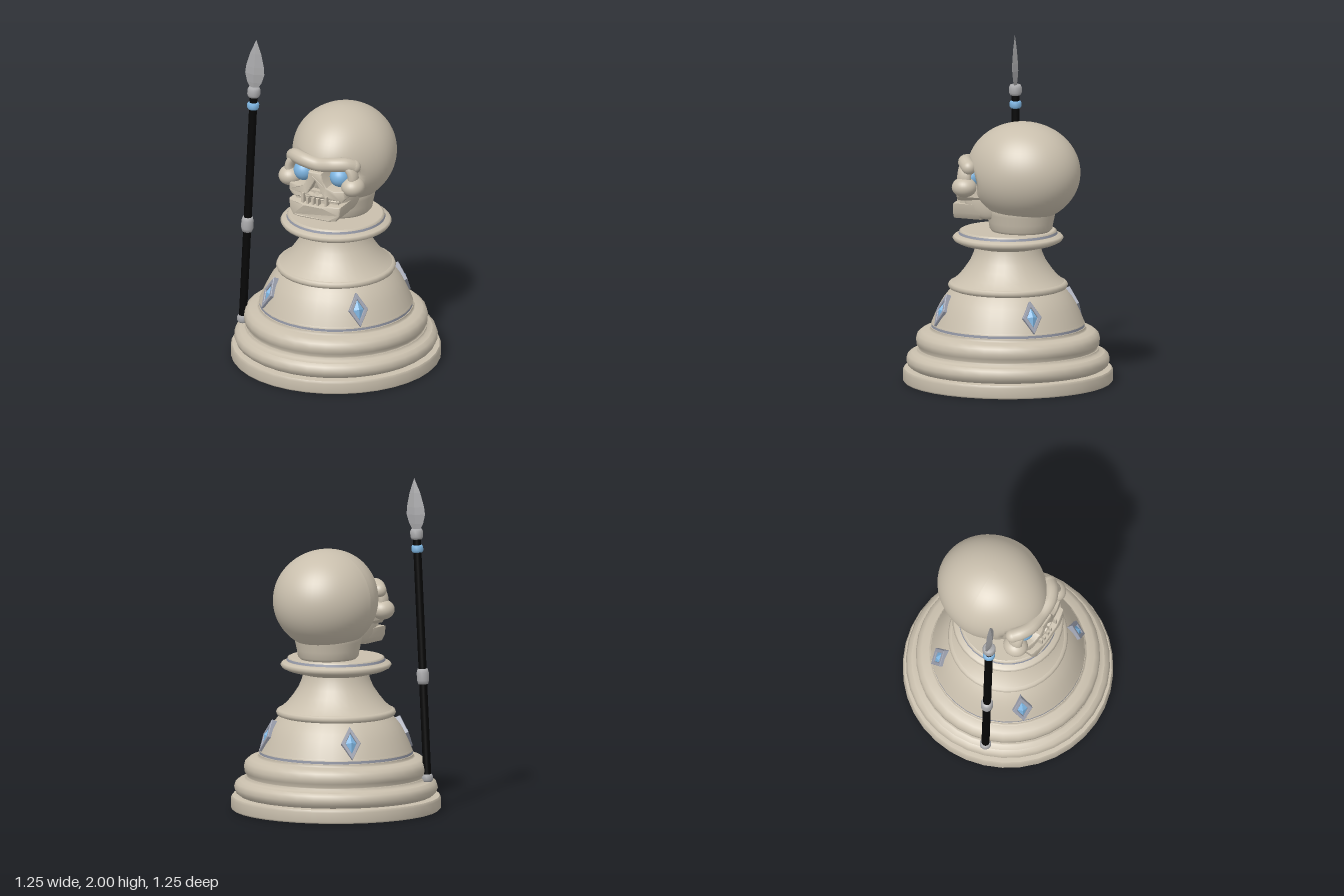
import * as THREE from 'three';
import { toCreasedNormals } from 'three/addons/utils/BufferGeometryUtils.js';

const mat = (name, color) => {
  const m = new THREE.MeshStandardMaterial({ color });
  m.name = name;
  return m;
};
const V2 = (p) => new THREE.Vector2(p[0], p[1]);
const V3 = (p) => new THREE.Vector3(p[0], p[1], p[2]);

export function createModel() {
  const bone = mat('bone', 0xc9bfad);
  const blue = mat('blue', 0x7db4e0);
  const trim = mat('trim', 0x9a9eac);
  const steel = mat('steel', 0xaaaaac);
  const black = mat('black', 0x060606);

  const root = new THREE.Group();
  const add = (parent, name, geometry, material, x = 0, y = 0, z = 0) => {
    const mesh = new THREE.Mesh(geometry, material);
    mesh.name = name;
    mesh.position.set(x, y, z);
    parent.add(mesh);
    return mesh;
  };
  const lathe = (pts, segments = 36) => new THREE.LatheGeometry(pts.map(V2), segments);
  const ellipsoid = (rx, ry, rz) => new THREE.SphereGeometry(1, 28, 20).scale(rx, ry, rz);

  // Turned pedestal; repeated points make sharp edges
  add(root, 'pedestal', lathe([
    [0, 0], [0.618, 0], [0.618, 0], [0.626, 0.01], [0.626, 0.065], [0.618, 0.08], [0.618, 0.08],
    [0.575, 0.085], [0.575, 0.085], [0.595, 0.1], [0.607, 0.13], [0.597, 0.16], [0.575, 0.175], [0.575, 0.175],
    [0.545, 0.182], [0.54, 0.198], [0.54, 0.198], [0.525, 0.2], [0.545, 0.225], [0.548, 0.255],
    [0.54, 0.285], [0.515, 0.305], [0.47, 0.314], [0.47, 0.314], [0.462, 0.318], [0.462, 0.332], [0.462, 0.332],
    [0.455, 0.334], [0.455, 0.348], [0.455, 0.348], [0.458, 0.349], [0.452, 0.36], [0.452, 0.36],
    [0.442, 0.385], [0.427, 0.42], [0.408, 0.46], [0.385, 0.5], [0.358, 0.535], [0.335, 0.56], [0.335, 0.56],
    [0.35, 0.566], [0.357, 0.582], [0.35, 0.597], [0.335, 0.602], [0.335, 0.602],
    [0.295, 0.635], [0.255, 0.685], [0.222, 0.735], [0.203, 0.78], [0.196, 0.812], [0.196, 0.812],
    [0.29, 0.836], [0.32, 0.85], [0.331, 0.867], [0.322, 0.88], [0.293, 0.89], [0.293, 0.89],
    [0.288, 0.91], [0.278, 0.915], [0.278, 0.915], [0, 0.915],
  ]), bone);
  add(root, 'domeStripe', lathe([[0.457, 0.332], [0.457, 0.349]]), trim);
  add(root, 'collarStripe', lathe([[0.2945, 0.892], [0.2915, 0.906]]), trim);

  // Four diamond studs around the dome
  const diamond = (T, w, h) => new T([[w, 0], [0, h], [-w, 0], [0, -h]].map(V2));
  const frameShape = diamond(THREE.Shape, 0.056, 0.097);
  frameShape.holes.push(diamond(THREE.Path, 0.037, 0.067));
  const frameGeo = new THREE.ExtrudeGeometry(frameShape, {
    depth: 0.032, bevelEnabled: true, bevelSize: 0.003, bevelThickness: 0.003, bevelSegments: 1,
  }).translate(0, 0, -0.022);
  const gemGeo = new THREE.ConeGeometry(1, 1, 4).toNonIndexed().rotateX(Math.PI / 2).translate(0, 0, 0.5).scale(0.037, 0.067, 0.022);
  gemGeo.computeVertexNormals();
  for (let i = 0; i < 4; i++) {
    const a = Math.PI / 4 + i * Math.PI / 2;
    const stud = new THREE.Group();
    stud.name = 'stud';
    stud.rotation.set(-0.4, a, 0, 'YXZ');
    stud.position.set(Math.sin(a) * 0.417, 0.449, Math.cos(a) * 0.417);
    add(stud, 'studFrame', frameGeo, trim);
    add(stud, 'studGem', gemGeo, blue);
    root.add(stud);
  }

  // Skull
  const skull = new THREE.Group();
  skull.name = 'skull';
  root.add(skull);

  // Cranium: narrower at the front, with two hollows for the eyes
  const cranium = new THREE.SphereGeometry(1, 56, 40).scale(0.31, 0.3, 0.347).translate(0, 1.27, -0.1);
  const p = cranium.attributes.position;
  for (let i = 0; i < p.count; i++) {
    let x = p.getX(i), z = p.getZ(i);
    x *= 1 - 0.1 * THREE.MathUtils.smoothstep(z, -0.1, 0.2);
    if (z > 0) {
      const d = Math.hypot(Math.abs(x) - 0.125, p.getY(i) - 1.235);
      z -= 0.08 * (1 - THREE.MathUtils.smoothstep(d, 0.05, 0.11));
    }
    p.setXYZ(i, x, p.getY(i), z);
  }
  cranium.computeVertexNormals();
  add(skull, 'cranium', cranium, bone);

  // Skull base resting on the collar
  add(skull, 'skullBase', lathe([
    [0, 0.91], [0.17, 0.912], [0.185, 0.93], [0.192, 0.97], [0.203, 1.02], [0.208, 1.05],
    [0.2, 1.08], [0.19, 1.12], [0.18, 1.2],
  ]).scale(0.96, 1, 1.02), bone, 0, 0, -0.085);

  // Face plates: a mirrored outline, extruded and bent round the front
  const facePlate = (half, hole, back, front) => {
    const mirrored = half.slice().reverse().map(([x, y]) => [-x, y]);
    const shape = new THREE.Shape([...half, ...mirrored].map(V2));
    if (hole) shape.holes.push(new THREE.Path(hole.map(V2)));
    const g = new THREE.ExtrudeGeometry(shape, {
      depth: front - back - 0.01, bevelEnabled: true, bevelSize: 0.008, bevelThickness: 0.01, bevelOffset: -0.008, bevelSegments: 2,
    }).translate(0, 0, back);
    const q = g.attributes.position;
    for (let i = 0; i < q.count; i++) q.setZ(i, q.getZ(i) - 0.9 * q.getX(i) ** 2);
    return toCreasedNormals(g, 0.6);
  };
  add(skull, 'upperJaw', facePlate(
    [[0.135, 1.092], [0.165, 1.1], [0.188, 1.125], [0.185, 1.175], [0.12, 1.168], [0.075, 1.185], [0.052, 1.225], [0.045, 1.275]],
    [[0, 1.222], [0.048, 1.135], [0.018, 1.128], [0, 1.142], [-0.018, 1.128], [-0.048, 1.135]], 0.04, 0.283), bone);
  add(skull, 'lowerJaw', facePlate(
    [[0.1, 0.98], [0.14, 0.985], [0.165, 1.02], [0.172, 1.078], [0.1, 1.078], [0.06, 1.07]], null, 0.13, 0.31), bone);
  add(skull, 'mouthCore', new THREE.BoxGeometry(0.28, 0.13, 0.22), bone, 0, 1.08, 0.14);

  // Teeth bridging the mouth line
  for (const [x, y, h] of [[-0.077, 1.082, 0.1], [-0.045, 1.085, 0.05], [-0.008, 1.085, 0.055],
    [0.022, 1.085, 0.055], [0.077, 1.082, 0.1]]) {
    add(skull, 'tooth', new THREE.BoxGeometry(0.014, h, 0.04), bone, x, y, 0.275);
  }

  // Brow ridge
  const brow = new THREE.CatmullRomCurve3([
    [-0.2, 1.305, 0.165], [-0.165, 1.323, 0.2], [-0.1, 1.323, 0.23], [0, 1.309, 0.232],
    [0.1, 1.323, 0.23], [0.165, 1.323, 0.2], [0.2, 1.305, 0.165]].map(V3));
  add(skull, 'brow', new THREE.TubeGeometry(brow, 40, 0.043, 14), bone);

  for (const s of [-1, 1]) {
    add(skull, 'browEnd', ellipsoid(0.043, 0.043, 0.043), bone, s * 0.2, 1.305, 0.165);
    add(skull, 'cheekbone', ellipsoid(0.07, 0.06, 0.075), bone, s * 0.208, 1.188, 0.19);
    add(skull, 'eye', ellipsoid(0.061, 0.061, 0.061), blue, s * 0.12, 1.235, 0.187);
    // Outer rim of the eye socket, joining brow and cheekbone
    const rim = new THREE.TorusGeometry(0.09, 0.03, 12, 16, 2.2).rotateZ(s > 0 ? -1.1 : Math.PI - 1.1).scale(1, 1, 1.5);
    add(skull, 'socketRim', rim, bone, s * 0.12, 1.238, 0.19);
    // Side of the face between the upper jaw and the skull base
    add(skull, 'jawHinge', ellipsoid(0.04, 0.11, 0.14), bone, s * 0.137, 1.1, 0.08);
  }

  // Spear, leaning slightly
  const spear = new THREE.Group();
  spear.name = 'spear';
  spear.position.set(-0.527, 0.2, 0.185);
  spear.quaternion.setFromUnitVectors(new THREE.Vector3(0, 1, 0), new THREE.Vector3(0.08, 1.8, -0.02).normalize());
  root.add(spear);
  add(spear, 'shaft', new THREE.CylinderGeometry(0.024, 0.024, 1.48, 12), black, 0, 0.73, 0);
  const ferrule = (name, y, h, r, material) => add(spear, name, lathe([
    [0, -h / 2], [r * 0.8, -h / 2], [r, -h / 4], [r, h / 4], [r * 0.8, h / 2], [0, h / 2]], 16), material, 0, y, 0);
  ferrule('buttCap', 0.003, 0.045, 0.034, steel);
  ferrule('grip', 0.613, 0.092, 0.037, steel);
  ferrule('blueRing', 1.38, 0.044, 0.036, blue);
  ferrule('socket', 1.468, 0.062, 0.039, steel);
  const blade = lathe([[0.02, 1.485], [0.045, 1.53], [0.06, 1.585], [0.056, 1.63], [0.035, 1.715], [0, 1.804]], 4)
    .scale(1, 1, 0.32).toNonIndexed();
  blade.computeVertexNormals();
  add(spear, 'blade', blade, steel).rotation.y = 0.15;

  return root;
}
